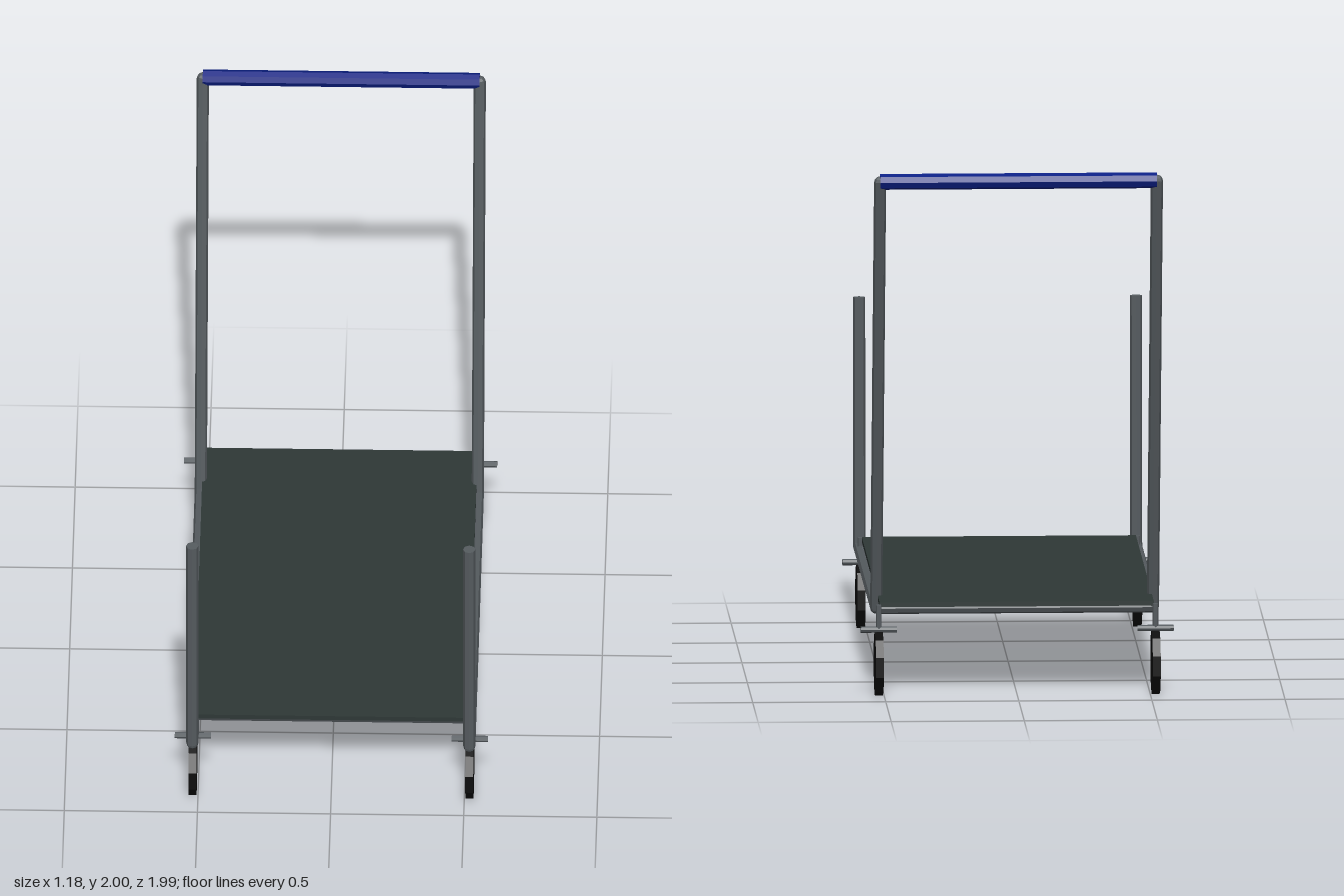
import * as THREE from 'three';

const material = (name, color, flatShading = true) => {
  const m = new THREE.MeshStandardMaterial({ color, flatShading });
  m.name = name;
  return m;
};

export function createModel() {
  const cart = new THREE.Group();
  cart.name = 'platformCart';
  const steel = material('steel', 0x565c60);
  const deckGrey = material('deckGrey', 0x2e3836);
  const rubber = material('rubber', 0x0e0e0e);
  const gripBlue = material('gripBlue', 0x0a1f84);

  const add = (name, geometry, mat, parent = cart) => {
    const mesh = new THREE.Mesh(geometry, mat);
    mesh.name = name;
    parent.add(mesh);
    return mesh;
  };

  // Straight bar between two points
  const bar = (name, a, b, radius, mat, parent = cart, sides = 8) => {
    const from = new THREE.Vector3(...a), to = new THREE.Vector3(...b);
    const dir = to.clone().sub(from);
    const mesh = add(name, new THREE.CylinderGeometry(radius, radius, dir.length(), sides), mat, parent);
    mesh.position.copy(from).add(to).multiplyScalar(0.5);
    mesh.quaternion.setFromUnitVectors(new THREE.Vector3(0, 1, 0), dir.normalize());
    return mesh;
  };

  const X = 0.52, R = 0.023;

  for (const side of [1, -1]) {
    const x = side * X;
    const frame = new THREE.Group();
    frame.name = side > 0 ? 'leftFrame' : 'rightFrame';
    cart.add(frame);

    // Side frame: front post, bottom rail, leaning handle post
    const path = [[x, 1.24, 0.975], [x, 0.293, 0.952], [x, 0.298, -0.6], [x, 1.968, -0.965]];
    ['frontPost', 'sideRail', 'handlePost'].forEach((name, i) => bar(name, path[i], path[i + 1], R, steel, frame));
    for (const p of path.slice(1)) {
      add('elbow', new THREE.SphereGeometry(R, 8, 6), steel, frame).position.set(...p);
    }

    // Casters: stem, axle and ten-sided wheel
    for (const z of [0.853, -0.845]) {
      const caster = new THREE.Group();
      caster.name = z > 0 ? 'frontCaster' : 'rearCaster';
      caster.position.set(x, 0, z);
      cart.add(caster);
      bar('stem', [0, 0.25, 0], [0, 0.345, 0], 0.011, steel, caster);
      bar('axle', [-0.068, 0.252, 0], [0.068, 0.252, 0], 0.012, steel, caster);
      const wheel = add('wheel', new THREE.CylinderGeometry(0.122, 0.122, 0.03, 10), rubber, caster);
      wheel.rotation.set(Math.PI / 2, 0, Math.PI / 2);
      wheel.rotation.order = 'ZYX';
      wheel.geometry.rotateY(Math.PI / 2);
      wheel.rotation.set(0, 0, Math.PI / 2);
      wheel.position.y = 0.123;
    }
  }

  // Deck and the bars under it
  add('deck', new THREE.BoxGeometry(1.03, 0.018, 1.65), deckGrey).position.set(0, 0.339, 0.025);
  for (const z of [0.78, 0, -0.6]) bar('crossBar', [-X, 0.297, z], [X, 0.297, z], R, steel);

  // Push handle
  bar('handleGrip', [-X, 1.97, -0.967], [X, 1.97, -0.967], 0.03, gripBlue);

  return cart;
}
